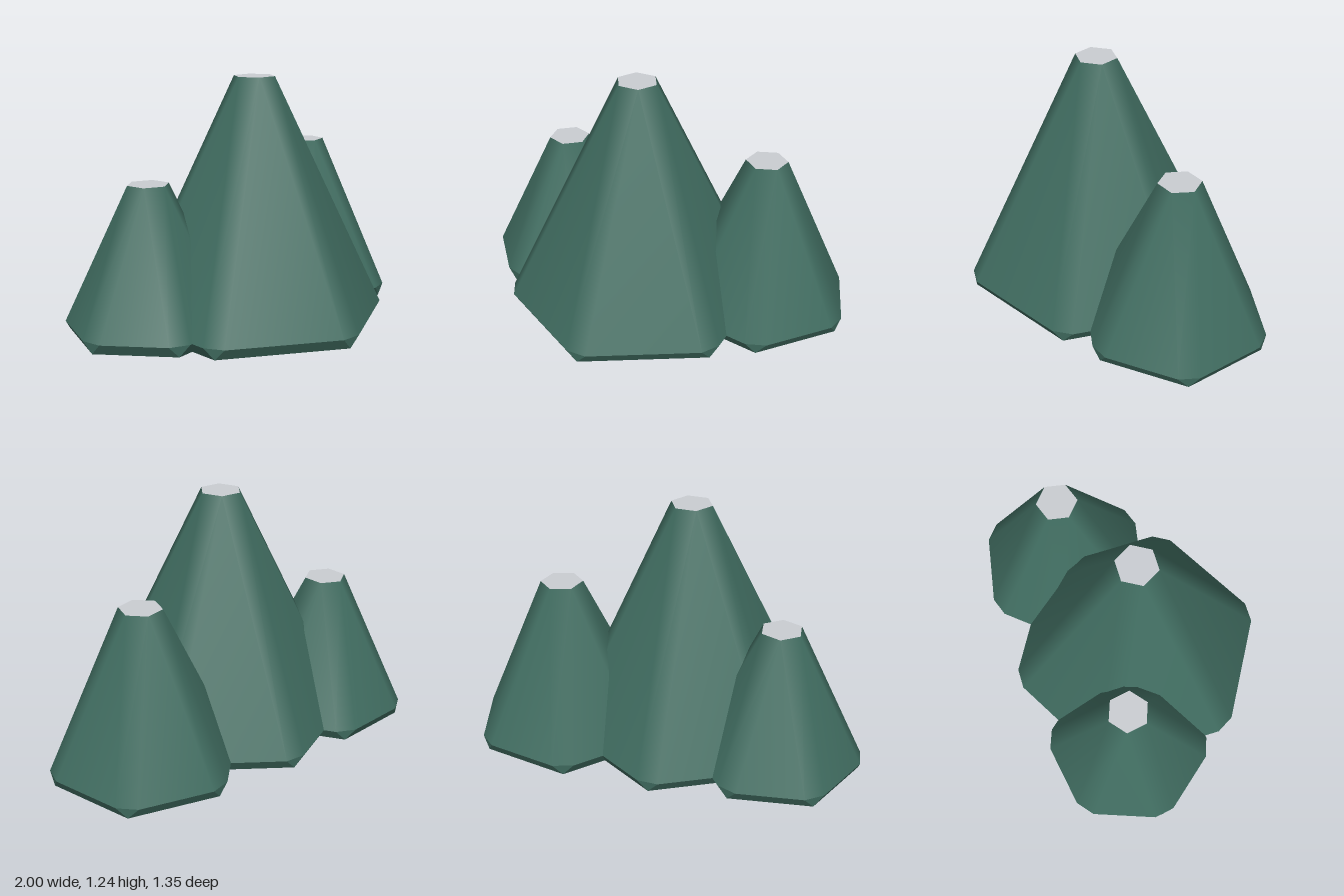
import * as THREE from 'three';

const SIDES = 6;
const RIM_Y = 0.055;
const TOP_R = 0.105; // summit radius, equal to the width of each cut corner

const ring = (radius, y, angle) =>
  new THREE.Vector3(radius * Math.cos(angle), y, radius * Math.sin(angle));

function makeGeometry(points, faces, smooth) {
  const indexed = new THREE.BufferGeometry().setFromPoints(points);
  indexed.setIndex(faces.flat());
  const geometry = smooth ? indexed : indexed.toNonIndexed();
  geometry.computeVertexNormals();
  return geometry;
}

// Six-sided peak with cut corners, a flat summit and an undercut foot
function createMountain(name, { x, z, radius, height, turn }, green, grey) {
  const start = [], end = [], top = [], bottom = [], points = [];
  const add = (p) => points.push(p) - 1;
  for (let k = 0; k < SIDES; k++) {
    const a = THREE.MathUtils.degToRad(turn + 60 * k);
    const corner = ring(radius, RIM_Y, a);
    const half = new THREE.Vector3(-Math.sin(a), 0, Math.cos(a)).multiplyScalar(TOP_R / 2);
    start.push(add(corner.clone().sub(half)));
    end.push(add(corner.clone().add(half)));
    top.push(add(ring(TOP_R, height, a + Math.PI / 6)));
    bottom.push(add(ring(radius - 0.006, 0, a)));
  }

  const slopes = [], foot = [], cap = [];
  for (let k = 0; k < SIDES; k++) {
    const n = (k + 1) % SIDES, p = (k + SIDES - 1) % SIDES;
    slopes.push([end[k], start[k], top[p]], [end[k], top[p], top[k]], [start[n], end[k], top[k]]);
    foot.push([start[k], end[k], bottom[k]],
      [end[k], start[n], bottom[n]], [end[k], bottom[n], bottom[k]]);
    if (k > 0 && k < SIDES - 1) {
      foot.push([bottom[0], bottom[k], bottom[k + 1]]);
      cap.push([top[0], top[k + 1], top[k]]);
    }
  }

  const group = new THREE.Group();
  group.name = name;
  const part = (label, faces, material, smooth) => {
    const mesh = new THREE.Mesh(makeGeometry(points, faces, smooth), material);
    mesh.name = label;
    group.add(mesh);
  };
  part('slopes', slopes, green, true);
  part('foot', foot, green, false);
  part('summit', cap, grey, false);
  group.position.set(x, 0, z);
  return group;
}

export function createModel() {
  const green = new THREE.MeshStandardMaterial({ color: 0x406c60 });
  green.name = 'mountain green';
  const grey = new THREE.MeshStandardMaterial({ color: 0xcacdd2 });
  grey.name = 'summit grey';

  const model = new THREE.Group();
  model.name = 'mountains';
  model.add(
    createMountain('mainPeak', { x: -0.063, z: 0.01, radius: 0.66, height: 1.24, turn: 30 }, green, grey),
    createMountain('leftPeak', { x: 0.535, z: -0.225, radius: 0.46, height: 0.84, turn: 10 }, green, grey),
    createMountain('rightPeak', { x: -0.58, z: -0.19, radius: 0.417, height: 0.74, turn: 50 }, green, grey)
  );
  return model;
}
